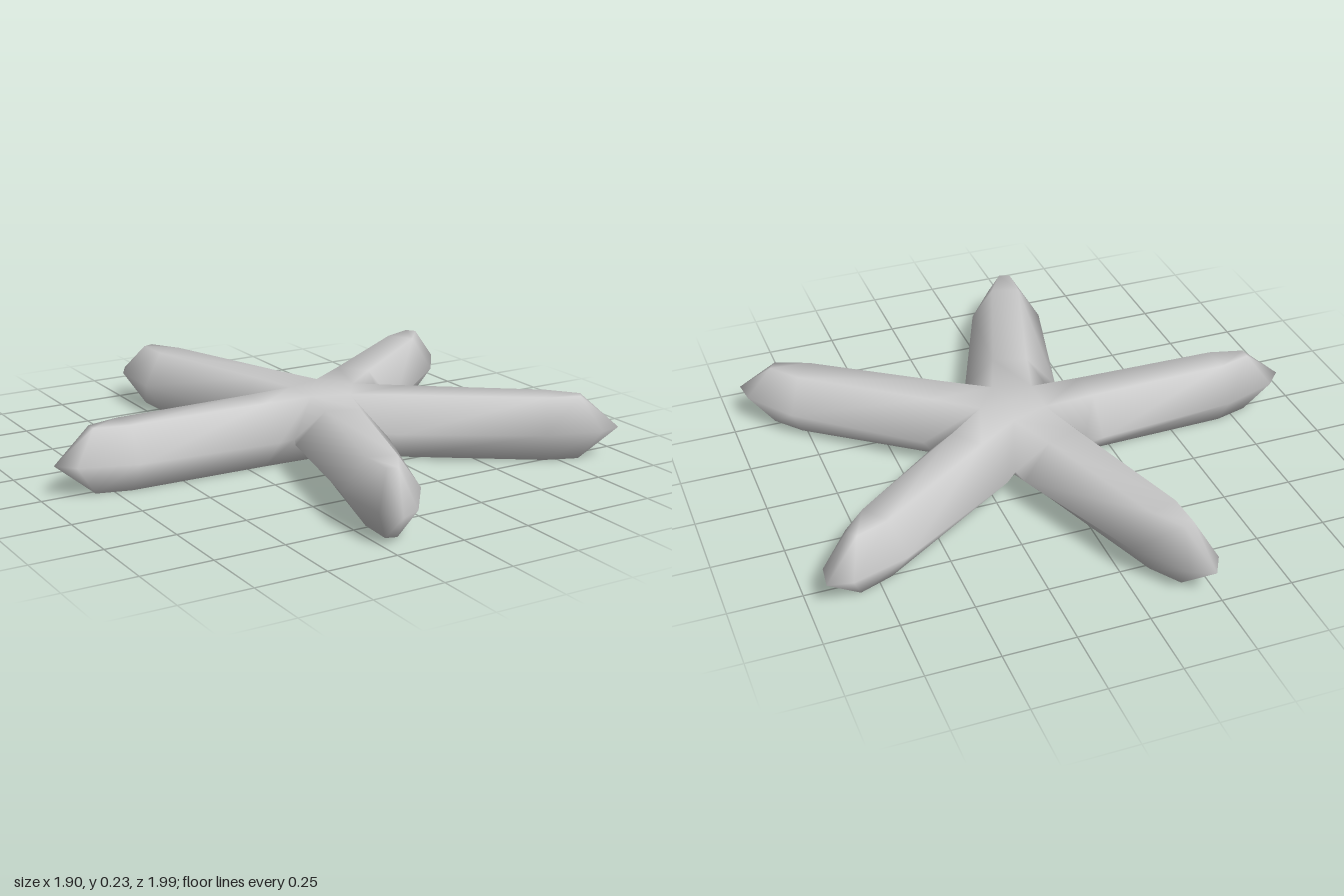
import * as THREE from 'three';
import { mergeVertices } from 'three/addons/utils/BufferGeometryUtils.js';

const HEIGHT = 0.23, MID = HEIGHT / 2;
const ARMS = 5, TIP = 1.048, CENTRE_X = 0.0975;
const HALF = Math.PI / ARMS;
const PIT_MID = 0.265, PIT_TOP = 0.12; // radius of the notch between arms

// Hexagonal sections: [side distance, side half-width, ridge distance, ridge half-width]
const SECTIONS = [
  [PIT_MID * Math.cos(HALF), PIT_MID * Math.sin(HALF), PIT_TOP * Math.cos(HALF), PIT_TOP * Math.sin(HALF)],
  [0.28, 0.167, 0.28, 0.062],
  [0.79, 0.13, 0.79, 0.052],
  [0.99, 0.063, 0.91, 0.02],
];

function starGeometry() {
  const positions = [];
  const triangle = (...points) => points.forEach((p) => positions.push(p.x, p.y, p.z));

  for (let i = 0; i < ARMS; i++) {
    const angle = Math.PI + i * 2 * HALF;
    const cos = Math.cos(angle), sin = Math.sin(angle);
    const at = (along, y, across) => new THREE.Vector3(
      along * cos - across * sin, y, along * sin + across * cos);

    const rings = SECTIONS.map(([s, w, r, t]) => [
      at(s, MID, w), at(r, HEIGHT, t), at(r, HEIGHT, -t),
      at(s, MID, -w), at(r, 0, -t), at(r, 0, t),
    ]);

    // hub wedge, top and bottom
    triangle(at(0, HEIGHT, 0), rings[0][1], rings[0][2]);
    triangle(at(0, 0, 0), rings[0][4], rings[0][5]);

    // arm skin and pointed end
    const tip = at(TIP, MID, 0);
    rings.forEach((ring, j) => {
      const next = rings[j + 1];
      for (let k = 0; k < 6; k++) {
        const n = (k + 1) % 6;
        if (next) {
          triangle(ring[k], next[k], next[n]);
          triangle(ring[k], next[n], ring[n]);
        } else {
          triangle(ring[k], tip, ring[n]);
        }
      }
    });
  }

  const soup = new THREE.BufferGeometry();
  soup.setAttribute('position', new THREE.Float32BufferAttribute(positions, 3));
  const geometry = mergeVertices(soup, 1e-4);
  geometry.computeVertexNormals();
  return geometry;
}

export function createModel() {
  const group = new THREE.Group();
  group.name = 'starfish';
  const body = new THREE.Mesh(starGeometry(), new THREE.MeshStandardMaterial({ color: 0xcccccc }));
  body.name = 'fiveArmedBody';
  body.position.x = CENTRE_X;
  group.add(body);
  return group;
}
